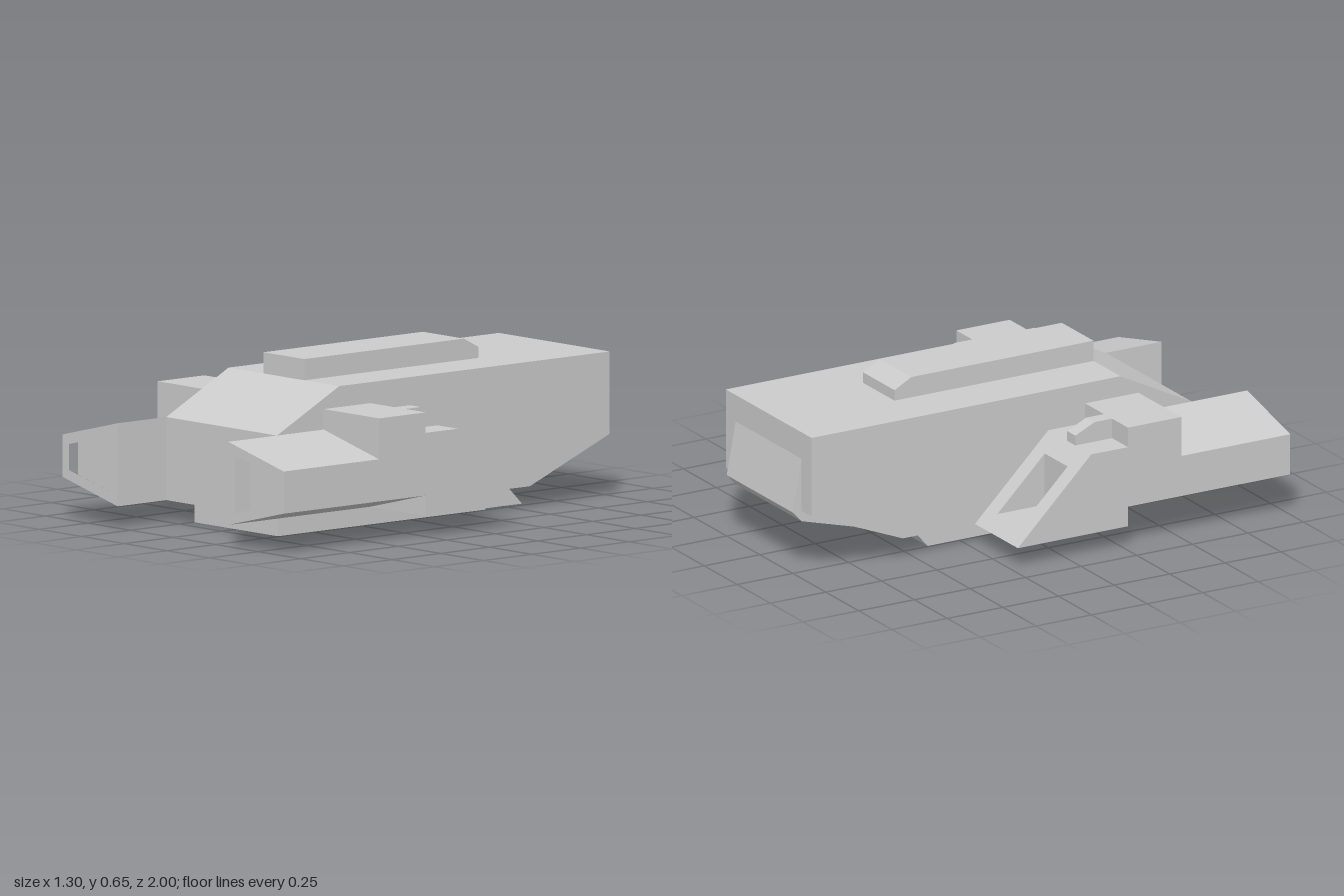
import * as THREE from 'three';

const material = new THREE.MeshStandardMaterial({ color: 0xcccccc, flatShading: true });

const toPoints = (pairs) => pairs.map(([a, b]) => new THREE.Vector2(a, b));

// Side profile given as [z, y] pairs, extruded across x0..x1
function slab(name, profile, x0, x1) {
  const geometry = new THREE.ExtrudeGeometry(new THREE.Shape(toPoints(profile)), {
    depth: x1 - x0, bevelEnabled: false,
  });
  geometry.rotateY(-Math.PI / 2).translate(x1, 0, 0);
  const mesh = new THREE.Mesh(geometry, material);
  mesh.name = name;
  return mesh;
}

// Front outline given as [x, y] pairs, extruded along z0..z1
function prism(name, outline, z0, z1, hole) {
  const shape = new THREE.Shape(toPoints(outline));
  if (hole) shape.holes.push(new THREE.Path(toPoints(hole)));
  const geometry = new THREE.ExtrudeGeometry(shape, { depth: z1 - z0, bevelEnabled: false });
  geometry.translate(0, 0, z0);
  const mesh = new THREE.Mesh(geometry, material);
  mesh.name = name;
  return mesh;
}

function createEngine(side) {
  const engine = new THREE.Group();
  engine.name = side > 0 ? 'leftEngine' : 'rightEngine';
  const across = (name, profile, a, b) =>
    engine.add(slab(name, profile, Math.min(side * a, side * b), Math.max(side * a, side * b)));
  const mirror = (pairs) => pairs.map(([x, y]) => [side * x, y]);

  // Tapered nacelle with a shallow intake recess
  const outline = mirror([[0.325, 0.085], [0.65, 0.165], [0.65, 0.33], [0.325, 0.41]]);
  const intake = mirror([[0.365, 0.135], [0.61, 0.195], [0.61, 0.297], [0.365, 0.36]]);
  engine.add(prism('nacelle', outline, 0.27, 0.92));
  engine.add(prism('intakeRim', outline, 0.92, 1, intake));

  // Raised housing with a slanted rear; the middle slab is stepped for the exhaust
  const front = [[0.27, 0.085], [0.27, 0.165], [0.51, 0.165], [0.51, 0.49], [0.27, 0.49], [0.27, 0.41], [0.105, 0.41]];
  const tail = [-0.225, 0.085];
  const solid = [...front, tail];
  const stepped = [...front, [0.043, 0.349], [0.043, 0.139], [-0.17, 0.139], tail];
  across('housingInner', solid, 0.325, 0.402);
  across('housingExhaust', stepped, 0.402, 0.575);
  across('housingOuter', solid, 0.575, 0.65);

  // Small fin behind the housing
  across('fin', [[0.27, 0.41], [0.27, 0.49], [0.19, 0.49], [0.105, 0.45], [0.105, 0.41]], 0.468, 0.53);
  return engine;
}

export function createModel() {
  const model = new THREE.Group();
  model.name = 'dropship';

  // Main hull
  model.add(slab('hull', [
    [0.75, 0.085], [0.75, 0.41], [0.43, 0.572], [-0.96, 0.572], [-0.96, 0.25], [-0.55, 0.085],
  ], -0.325, 0.325));

  // Spine on the roof
  model.add(slab('roofSpine', [
    [0.43, 0.572], [0.43, 0.655], [-0.39, 0.655], [-0.465, 0.615], [-0.465, 0.572],
  ], -0.12, 0.12));

  // Belly pod
  model.add(slab('bellyPod', [
    [0.675, 0], [0.675, 0.085], [-0.465, 0.085], [-0.39, 0],
  ], -0.245, 0.245));

  // Rear loading ramp
  model.add(slab('rearRamp', [
    [-0.955, 0.49], [-1, 0.25], [-0.96, 0.207], [-0.62, 0.113], [-0.62, 0.2], [-0.9, 0.3],
  ], -0.25, 0.25));

  for (const side of [1, -1]) model.add(createEngine(side));
  return model;
}
